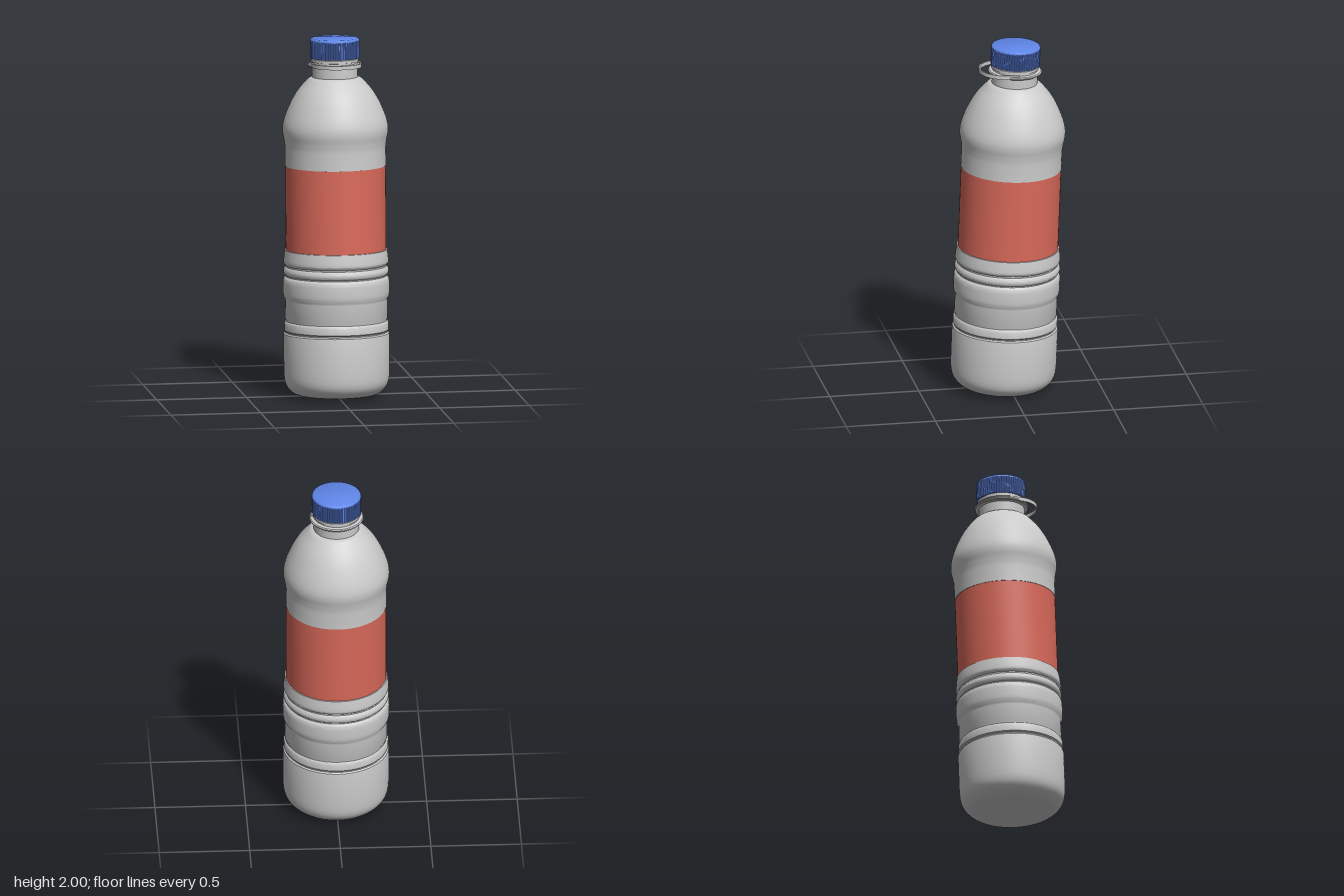
import * as THREE from 'three';
import { toCreasedNormals } from 'three/addons/utils/BufferGeometryUtils.js';

const mat = (color) => new THREE.MeshStandardMaterial({ color, side: THREE.DoubleSide });
const grey = mat(0xcccccc), red = mat(0xd9695a), blue = mat(0x5f86e8);

const TILT = -0.0375; // the whole bottle leans slightly back

function lathe(name, profile, material, segments = 72) {
  const pts = profile.map(([r, y]) => new THREE.Vector2(r, y));
  const mesh = new THREE.Mesh(toCreasedNormals(new THREE.LatheGeometry(pts, segments), 0.6), material);
  mesh.name = name;
  return mesh;
}

// Smooth curve through [radius, height] points
function smooth(points, n) {
  return new THREE.SplineCurve(points.map((p) => new THREE.Vector2(...p)))
    .getPoints(n).map((p) => [p.x, p.y]);
}

function extrudeUp(name, shape, depth, y, material) {
  const geo = new THREE.ExtrudeGeometry(shape, { depth, bevelEnabled: false, curveSegments: 32 });
  geo.rotateX(-Math.PI / 2);
  const mesh = new THREE.Mesh(toCreasedNormals(geo, 0.5), material);
  mesh.name = name;
  mesh.position.y = y;
  return mesh;
}

export function createModel() {
  const model = new THREE.Group();
  model.name = 'bottle';
  const bottle = new THREE.Group();
  bottle.name = 'tiltedBottle';
  bottle.position.set(0, 0.0085, 0.03);
  bottle.rotation.x = TILT;
  model.add(bottle);

  // Lower body: dished base, rounded heel, two groups of ribs
  bottle.add(lathe('lowerBody', [
    [0, 0.02], [0.1, 0.015], [0.16, 0.005],
    ...smooth([[0.19, 0], [0.235, 0.012], [0.272, 0.046], [0.288, 0.085], [0.293, 0.14]], 14),
    [0.293, 0.335], [0.291, 0.345], [0.283, 0.352], [0.283, 0.358], [0.289, 0.365],
    [0.289, 0.402], [0.286, 0.41], [0.28, 0.416], [0.28, 0.422], [0.284, 0.43],
    [0.282, 0.53], [0.284, 0.54],
    ...smooth([[0.291, 0.552], [0.294, 0.575], [0.294, 0.63], [0.29, 0.652], [0.279, 0.664]], 10),
    ...smooth([[0.279, 0.67], [0.289, 0.68], [0.291, 0.694], [0.288, 0.708], [0.279, 0.718]], 8),
    ...smooth([[0.279, 0.726], [0.289, 0.738], [0.29, 0.755], [0.286, 0.79], [0.283, 0.811]], 8),
    [0.275, 0.812],
  ], grey));

  // Wrapped label
  bottle.add(lathe('label', [[0.277, 0.811], [0.277, 1.278]], red));

  // Upper body: shoulder bulge and dome
  bottle.add(lathe('upperBody', [
    [0.273, 1.277], [0.279, 1.278], [0.278, 1.37],
    ...smooth([[0.279, 1.39], [0.284, 1.425], [0.291, 1.46], [0.292, 1.495], [0.284, 1.535],
      [0.266, 1.585], [0.238, 1.645], [0.205, 1.698], [0.165, 1.745], [0.148, 1.762]], 32),
    [0.138, 1.768], [0.126, 1.77],
  ], grey));

  // Neck with its flange and the band below the cap
  bottle.add(lathe('neck', [[0.126, 1.768], [0.126, 1.9]], grey));
  bottle.add(lathe('neckFlange', [
    [0.124, 1.826], [0.144, 1.829], [0.149, 1.834], [0.149, 1.839], [0.144, 1.844], [0.124, 1.847],
  ], grey));
  bottle.add(lathe('tamperBand', [[0.124, 1.855], [0.132, 1.857], [0.132, 1.872], [0.124, 1.874]], grey));

  // Carrying loop: a flat U-shaped strip projecting forward from the neck
  const R = 0.137, W = 0.007, reach = 0.065;
  const strip = new THREE.Shape();
  strip.moveTo(-R, 0);
  strip.lineTo(-R, -reach);
  strip.absarc(0, -reach, R, Math.PI, 2 * Math.PI, false);
  strip.lineTo(R, 0);
  strip.lineTo(R - W, 0);
  strip.lineTo(R - W, -reach);
  strip.absarc(0, -reach, R - W, 2 * Math.PI, Math.PI, true);
  strip.lineTo(-R + W, 0);
  strip.closePath();
  bottle.add(extrudeUp('carryLoop', strip, 0.022, 1.832, grey));

  // Knurled screw cap with a softly rounded top
  const cap = new THREE.Group();
  cap.name = 'cap';
  const ridges = 60, outline = [];
  for (let i = 0; i < ridges * 4; i++) {
    const a = (i / (ridges * 4)) * Math.PI * 2;
    const r = i % 4 < 2 ? 0.137 : 0.1325;
    outline.push(new THREE.Vector2(r * Math.cos(a), r * Math.sin(a)));
  }
  cap.add(extrudeUp('capKnurling', new THREE.Shape(outline), 0.096, 1.877, blue));
  cap.add(lathe('capTop', [
    [0.136, 1.971], [0.1355, 1.977], [0.132, 1.983], [0.126, 1.986], [0, 1.987],
  ], blue));
  bottle.add(cap);

  return model;
}
